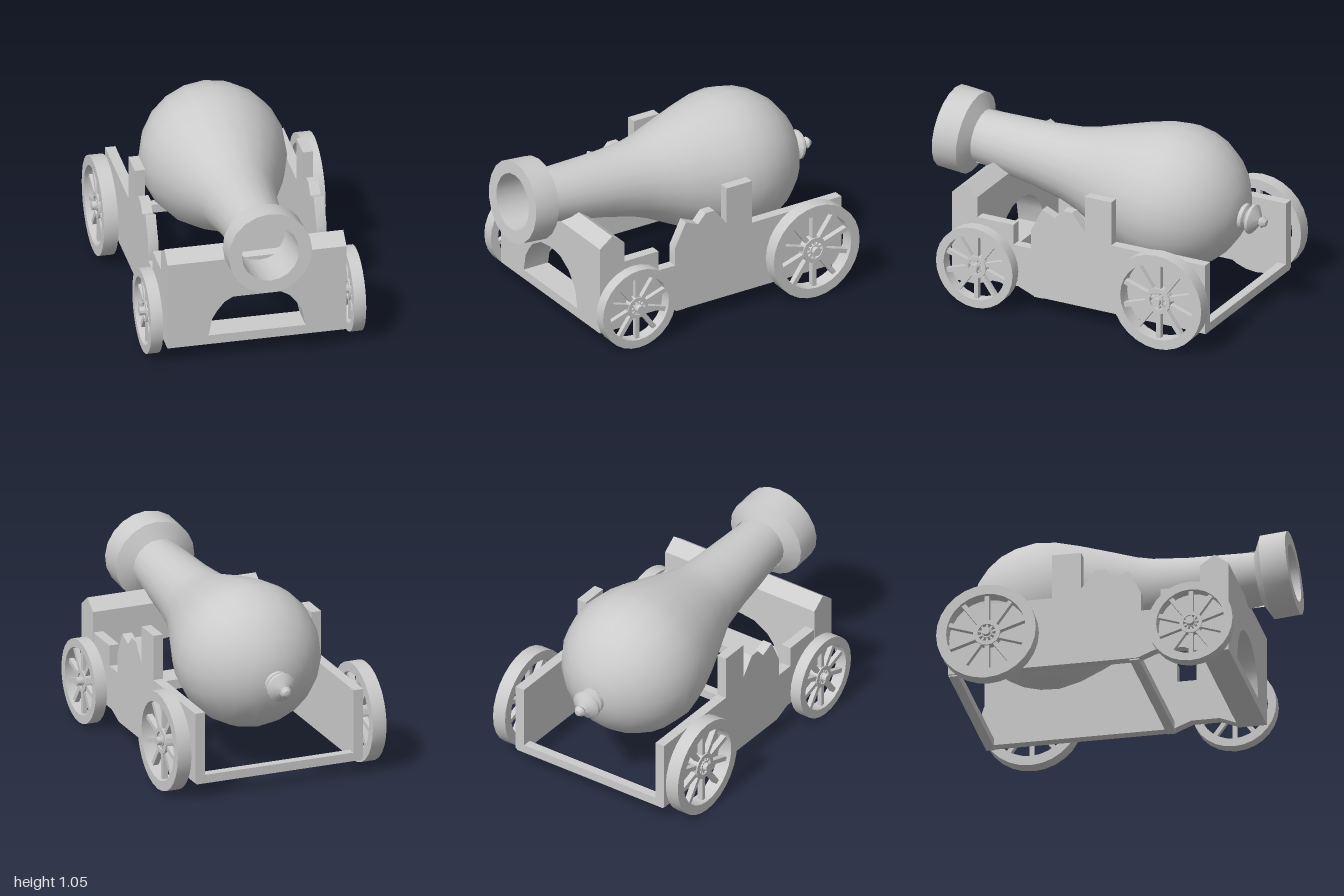
import * as THREE from 'three';
import { toCreasedNormals } from 'three/addons/utils/BufferGeometryUtils.js';

const material = new THREE.MeshStandardMaterial({ color: 0xcccccc });

function part(parent, name, geometry, x = 0, y = 0, z = 0) {
  const mesh = new THREE.Mesh(toCreasedNormals(geometry, 0.5), material);
  mesh.name = name;
  mesh.position.set(x, y, z);
  parent.add(mesh);
  return mesh;
}

const vectors = (points) => points.map(([x, y]) => new THREE.Vector2(x, y));

// Profile of [radius, distance along axis]
const lathe = (points, sides) => new THREE.LatheGeometry(vectors(points), sides);

// Ring with a rectangular section, turning about the x axis
const ring = (inner, outer, half, sides) =>
  lathe([[inner, -half], [outer, -half], [outer, half], [inner, half], [inner, -half]], sides).rotateZ(Math.PI / 2);

// Outline of [z, y] extruded along x, centred on x = 0
function sideExtrude(points, width) {
  const geometry = new THREE.ExtrudeGeometry(new THREE.Shape(vectors(points)), { depth: width, bevelEnabled: false });
  return geometry.rotateY(-Math.PI / 2).translate(width / 2, 0, 0);
}

function makeBarrel() {
  const barrel = new THREE.Group();
  barrel.name = 'barrel';

  // Bulbous body, flared muzzle band and hollow bore
  part(barrel, 'barrelBody', lathe([
    [0, -0.845], [0.08, -0.84], [0.16, -0.815], [0.25, -0.76], [0.32, -0.69], [0.37, -0.61], [0.4, -0.52],
    [0.412, -0.42], [0.395, -0.31], [0.353, -0.18], [0.285, 0], [0.238, 0.12], [0.213, 0.21], [0.185, 0.4],
    [0.15, 0.785], [0.237, 0.83], [0.237, 0.98], [0.163, 0.98], [0.155, 0.68], [0, 0.68],
  ], 20).rotateX(Math.PI / 2));

  // Turned knob at the breech
  part(barrel, 'breechKnob', lathe([
    [0, -0.995], [0.018, -0.99], [0.034, -0.968], [0.022, -0.95], [0.03, -0.945], [0.058, -0.93],
    [0.085, -0.91], [0.085, -0.895], [0.055, -0.875], [0.075, -0.865], [0.075, -0.845], [0.05, -0.82],
  ], 14).rotateX(Math.PI / 2));

  barrel.position.set(0.009, 0.682, 0);
  barrel.rotation.set(-0.095, 0.009, 0);
  return barrel;
}

function makeWheel(name, radius, halfWidth) {
  const wheel = new THREE.Group();
  wheel.name = name;
  const inner = radius * 0.8;
  const hub = radius * 0.27;
  part(wheel, 'rim', ring(inner, radius, halfWidth, 28));
  part(wheel, 'hubRing', ring(hub * 0.68, hub, halfWidth * 0.6, 16));
  part(wheel, 'hubCentre', ring(0.01, hub * 0.42, halfWidth * 0.6, 12));

  // Long spokes to the rim and short ones inside the hub
  for (let i = 0; i < 10; i++) {
    const angle = (i / 10) * Math.PI * 2;
    for (const [from, to, width] of [[hub * 0.95, inner * 1.03, 0.026], [hub * 0.35, hub * 0.72, 0.012]]) {
      const spoke = new THREE.BoxGeometry(halfWidth * 0.8, to - from, width);
      spoke.translate(0, (from + to) / 2, 0).rotateX(angle);
      part(wheel, 'spoke', spoke);
    }
  }
  return wheel;
}

function makeFrontBoard() {
  const board = new THREE.Group();
  board.name = 'frontBoard';

  // Board with an arched opening
  const shape = new THREE.Shape(vectors([[-0.507, 0.095], [0.507, 0.095], [0.507, 0.62], [-0.507, 0.62]]));
  const half = [[0.275, 0.15], [0.255, 0.25], [0.225, 0.3], [0.185, 0.35], [0.1, 0.4]];
  const mirrored = half.map(([x, y]) => [-x, y]).reverse();
  shape.holes.push(new THREE.Path(vectors([...half, [0, 0.415], ...mirrored])));
  part(board, 'archedPanel', new THREE.ExtrudeGeometry(shape, { depth: 0.16, bevelEnabled: false }), 0, 0, 0.555);

  // Ridged top
  part(board, 'ridge', sideExtrude([[0.555, 0.62], [0.715, 0.62], [0.635, 0.68]], 1.014));
  return board;
}

export function createModel() {
  const model = new THREE.Group();
  model.name = 'cannon';
  model.add(makeBarrel());

  const carriage = new THREE.Group();
  carriage.name = 'carriage';
  model.add(carriage);
  carriage.add(makeFrontBoard());

  // Stepped and notched side plank
  const plankOutline = [
    [-0.87, 0.095], [0.2, 0.095], [0.3, 0.135], [0.46, 0.135], [0.56, 0.095], [0.56, 0.5], [0.33, 0.5],
    [0.33, 0.38], [0.22, 0.38], [0.22, 0.49], [0.15, 0.63], [0.07, 0.595], [0.02, 0.65], [-0.037, 0.65],
    [-0.118, 0.548], [-0.118, 0.765], [-0.283, 0.765], [-0.283, 0.505], [-0.87, 0.505],
  ];

  for (const side of [-1, 1]) {
    const label = side > 0 ? 'left' : 'right';
    part(carriage, label + 'Plank', sideExtrude(plankOutline, 0.058), side * 0.476);

    // Wheels on stub axles
    const wheels = [
      ['FrontWheel', 0.24, 0.034, 0.575, 0.52, 0.625],
      ['BackWheel', 0.282, 0.041, 0.587, -0.63, 0.637],
    ];
    for (const [name, radius, halfWidth, x, z, end] of wheels) {
      const wheel = makeWheel(label + name, radius, halfWidth);
      wheel.position.set(side * x, radius, z);
      model.add(wheel);
      const axle = new THREE.CylinderGeometry(0.024, 0.024, end - 0.47, 12).rotateZ(Math.PI / 2);
      part(model, label + name + 'Axle', axle, side * (end + 0.47) / 2, radius, z);
    }
  }

  // Cross bars tying the planks together
  for (const [name, z] of [['middleCrossBar', 0.18], ['backCrossBar', -0.843]]) {
    part(carriage, name, new THREE.BoxGeometry(0.99, 0.05, 0.052), 0, 0.112, z);
  }
  return model;
}
